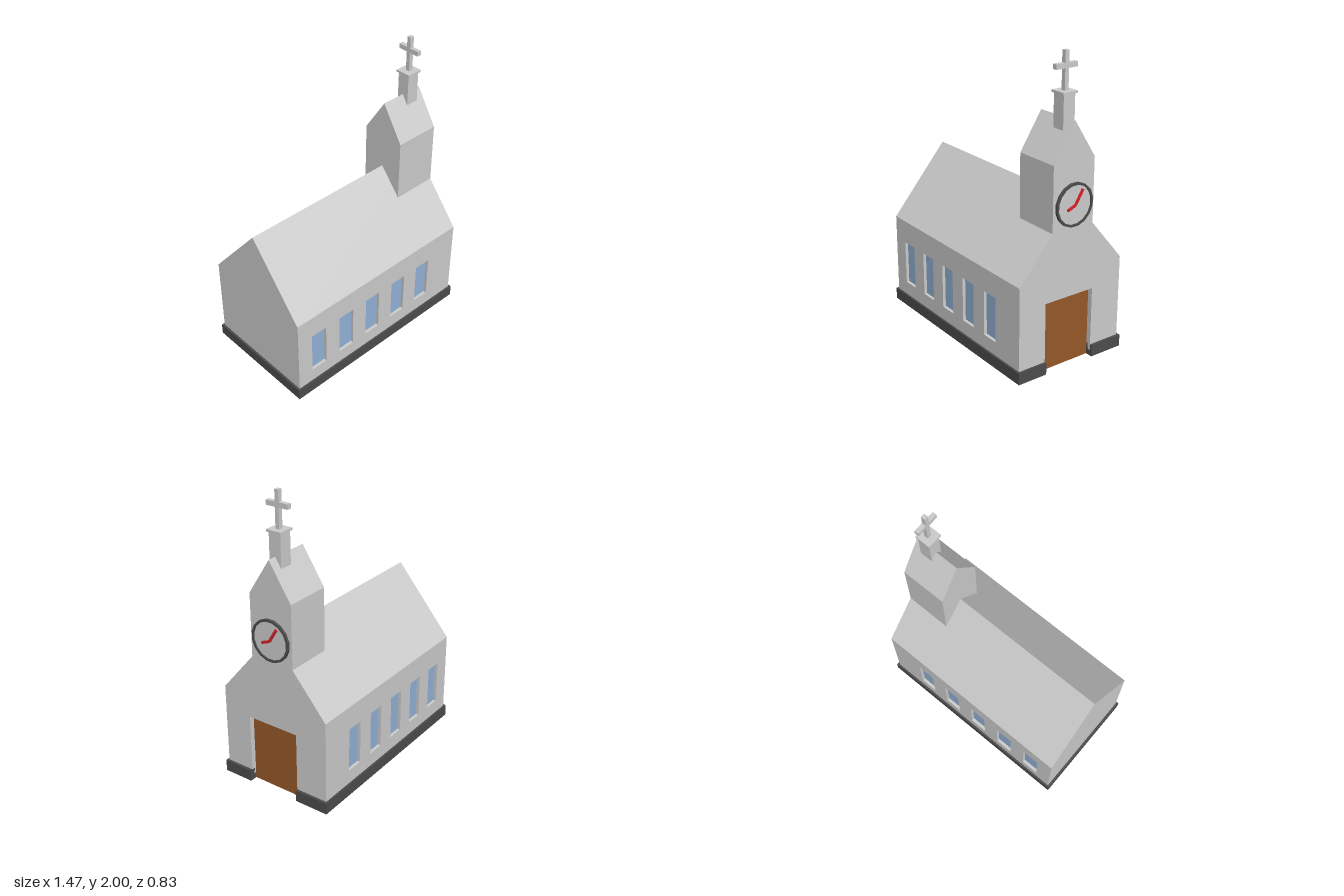
import * as THREE from 'three';

const mat = (color) => new THREE.MeshStandardMaterial({ color, flatShading: true });
const grey = mat(0xcccccc);
const dark = mat(0x4c4c4c);
const brown = mat(0x965828);
const blue = mat(0x92b1d6);
const red = mat(0xd8222a);

const polygon = (points) => new THREE.Shape(points.map(([x, y]) => new THREE.Vector2(x, y)));
const extrude = (shape, depth) => new THREE.ExtrudeGeometry(shape, { depth, bevelEnabled: false });

export function createModel() {
  const model = new THREE.Group();
  model.name = 'church';

  const add = (name, geometry, material) => {
    const mesh = new THREE.Mesh(geometry, material);
    mesh.name = name;
    model.add(mesh);
    return mesh;
  };
  // Box given by its limits on each axis
  const box = (name, material, [x0, x1], [y0, y1], [z0, z1]) => {
    const mesh = add(name, new THREE.BoxGeometry(x1 - x0, y1 - y0, z1 - z0), material);
    mesh.position.set((x0 + x1) / 2, (y0 + y1) / 2, (z0 + z1) / 2);
    return mesh;
  };
  // Profile of (-z, y) points swept from x0 to x1
  const alongX = (name, material, shape, x0, x1) =>
    add(name, extrude(shape, x1 - x0).rotateY(Math.PI / 2).translate(x0, 0, 0), material);

  // Main dimensions
  const back = -0.725, front = 0.71, recess = 0.67;
  const half = 0.4, inner = 0.375, eave = 0.64, ridge = 1.115;
  const towerHalf = 0.157, towerEave = 1.355, towerTop = 1.6, towerBack = 0.39;
  const shoulder = ridge - towerHalf * (ridge - eave) / half;
  const doorLeft = -0.2, doorRight = 0.172, doorTop = 0.48;
  const floor = 0.04;

  // Plinth with a notch at the doorway
  const plinth = polygon([
    [-0.74, -0.413], [0.727, -0.413], [0.727, doorLeft], [recess, doorLeft],
    [recess, doorRight], [0.727, doorRight], [0.727, 0.413], [-0.74, 0.413],
  ].map(([x, u]) => [x, u]));
  add('plinth', extrude(plinth, 0.08).rotateX(-Math.PI / 2), dark).scale.z = 1;

  // Nave with its gabled roof; the side walls sit on the narrower core
  alongX('naveAndRoof', grey, polygon([
    [-inner, floor], [inner, floor], [inner, eave], [half, eave],
    [0, ridge], [-half, eave], [-inner, eave],
  ]), back, recess);

  // Front wall, running up into the tower face
  alongX('frontWall', grey, polygon([
    [-half, floor], [doorLeft, floor], [doorLeft, doorTop], [doorRight, doorTop],
    [doorRight, floor], [half, floor], [half, eave], [towerHalf, shoulder],
    [towerHalf, towerEave], [0, towerTop], [-towerHalf, towerEave],
    [-towerHalf, shoulder], [-half, eave],
  ]), recess, front);

  // Tower behind the front wall
  alongX('tower', grey, polygon([
    [-towerHalf, 0.92], [towerHalf, 0.92], [towerHalf, towerEave],
    [0, towerTop], [-towerHalf, towerEave],
  ]), towerBack, recess);

  // Side walls with window openings and recessed panes
  const windowX = [-0.55, -0.311, -0.073, 0.166, 0.404];
  const w = 0.061, sill = 0.175, head = 0.48;
  const wall = polygon([[back, floor], [recess, floor], [recess, eave], [back, eave]]);
  for (const x of windowX) {
    wall.holes.push(polygon([[x - w, sill], [x - w, head], [x + w, head], [x + w, sill]]));
  }
  for (const side of [1, -1]) {
    add(side > 0 ? 'frontSideWall' : 'backSideWall', extrude(wall, half - inner), grey)
      .position.z = side > 0 ? inner : -half;
    for (const x of windowX) {
      const z = side * (inner + 0.002);
      box('windowPane', blue, [x - w, x + w], [sill, head], [z - 0.002, z + 0.002]);
    }
  }

  // Door
  box('door', brown, [recess - 0.002, recess + 0.005], [0, doorTop], [-doorRight, -doorLeft]);

  // Steeple block, cap and cross
  const sx = 0.605;
  box('steepleBlock', grey, [sx - 0.045, sx + 0.045], [1.53, 1.75], [-0.043, 0.043]);
  box('steepleCap', grey, [sx - 0.055, sx + 0.055], [1.747, 1.762], [-0.054, 0.054]);
  box('crossPost', grey, [sx - 0.012, sx + 0.018], [1.76, 2], [-0.014, 0.014]);
  box('crossArm', grey, [sx - 0.012, sx + 0.018], [1.893, 1.925], [-0.08, 0.08]);

  // Clock: rim, dial and two hands
  const clockY = 1.083, sides = 16;
  const circle = (r) => polygon(Array.from({ length: sides }, (_, i) => {
    const a = (i + 0.5) / sides * Math.PI * 2;
    return [r * Math.cos(a), clockY + r * Math.sin(a)];
  }));
  const rim = circle(0.141);
  rim.holes.push(circle(0.126));
  alongX('clockRim', dark, rim, front, 0.727);
  alongX('clockDial', grey, circle(0.127), front, 0.719);
  const hand = (name, length, angle) => {
    const geometry = new THREE.BoxGeometry(0.01, 0.016, length).translate(0, 0, -length / 2);
    const mesh = add(name, geometry, red);
    mesh.position.set(0.729, clockY, 0);
    mesh.rotation.x = angle;
  };
  hand('minuteHand', 0.108, Math.atan2(0.092, 0.056));
  hand('hourHand', 0.064, Math.PI + Math.atan2(0.023, 0.058));

  return model;
}
